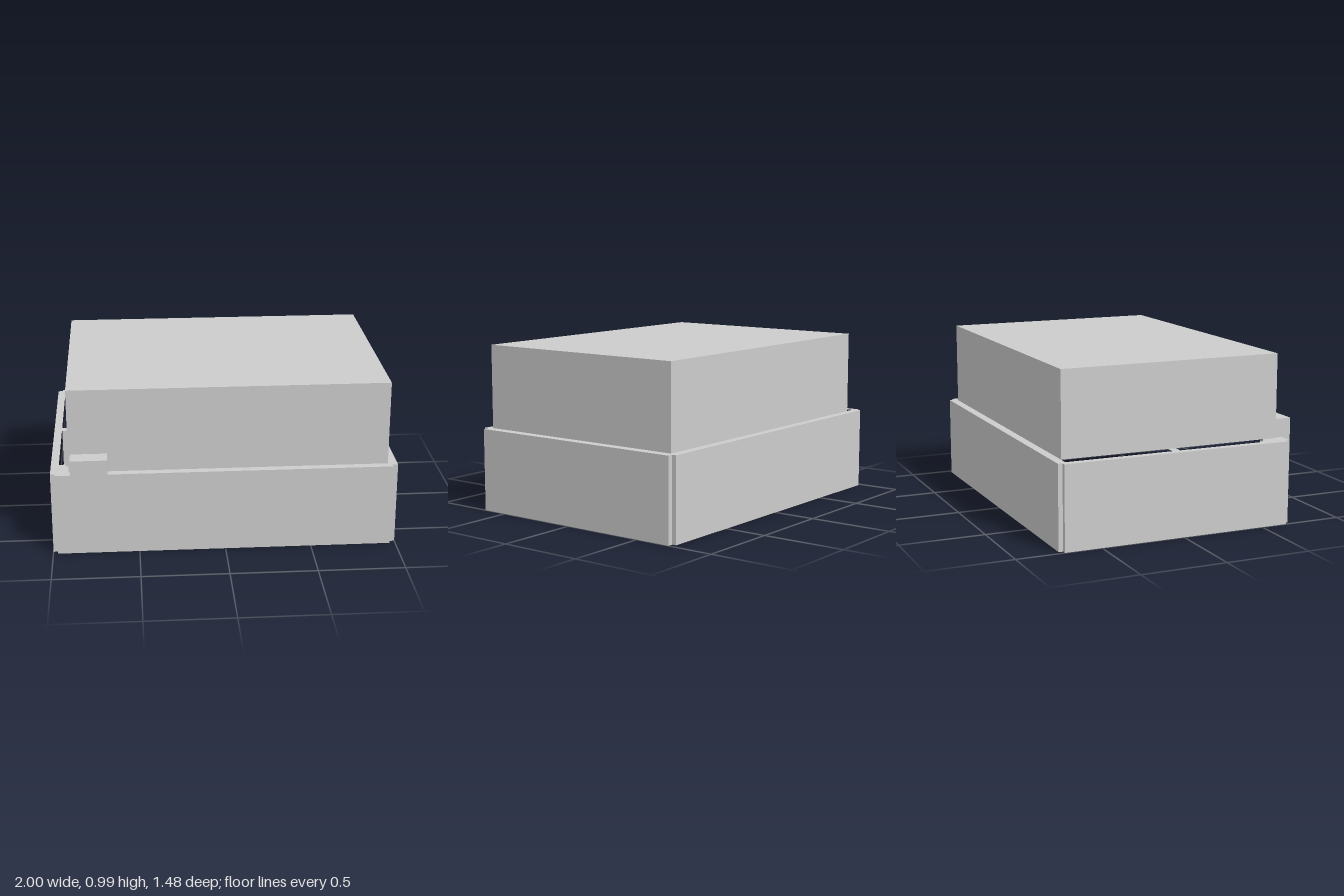
import * as THREE from 'three';

export function createModel() {
  const model = new THREE.Group();
  const grey = new THREE.MeshStandardMaterial({ color: 0xcccccc });
  grey.name = 'plain grey';

  const add = (name, geometry) => {
    const mesh = new THREE.Mesh(geometry, grey);
    mesh.name = name;
    model.add(mesh);
  };

  // Box given by its minimum and maximum corners
  const box = (name, [x0, y0, z0], [x1, y1, z1]) => {
    const geometry = new THREE.BoxGeometry(x1 - x0, y1 - y0, z1 - z0);
    geometry.translate((x0 + x1) / 2, (y0 + y1) / 2, (z0 + z1) / 2);
    add(name, geometry);
  };

  // Plan points are [x, z]; the extrusion is laid flat with z reversed
  const plan = (points) => points.map(([x, z]) => new THREE.Vector2(x, -z));

  const bodyTop = 0.49;
  const blockLeft = 0.944, blockRight = -0.895;
  const blockBack = -0.694, blockFront = 0.636;
  const slotOuter = -0.954;

  // Outer casing outline with a small square notch at each corner
  const casing = new THREE.Shape(plan([
    [-1, -0.718], [-0.973, -0.718], [-0.973, -0.744],
    [0.967, -0.744], [0.967, -0.718], [1, -0.718],
    [1, 0.657], [0.967, 0.657], [0.967, 0.683],
    [-0.973, 0.683], [-0.973, 0.657], [-1, 0.657],
  ]));

  // Two through slots, separated by a narrow rib
  casing.holes.push(
    new THREE.Path(plan([
      [slotOuter, blockBack], [blockRight, blockBack],
      [blockRight, -0.056], [slotOuter, -0.056],
    ])),
    new THREE.Path(plan([
      [slotOuter, -0.007], [blockRight, -0.007], [blockRight, 0.548],
      [-0.916, 0.548], [-0.916, 0.522], [slotOuter, 0.522],
    ])),
  );
  const casingGeometry = new THREE.ExtrudeGeometry(casing, { depth: bodyTop, bevelEnabled: false });
  casingGeometry.rotateX(-Math.PI / 2);
  add('casing', casingGeometry);

  // Raised block standing inside the casing
  box('upperBlock', [blockRight, bodyTop, blockBack], [blockLeft, 0.985, blockFront]);

  // Latch on the front: a face plate in front of the wall and a lip over its rim
  box('latchPlate', [-0.883, 0.39, 0.683], [-0.673, 0.6, 0.738]);
  box('latchLip', [-0.883, bodyTop, blockFront], [-0.673, 0.6, 0.683]);

  return model;
}
